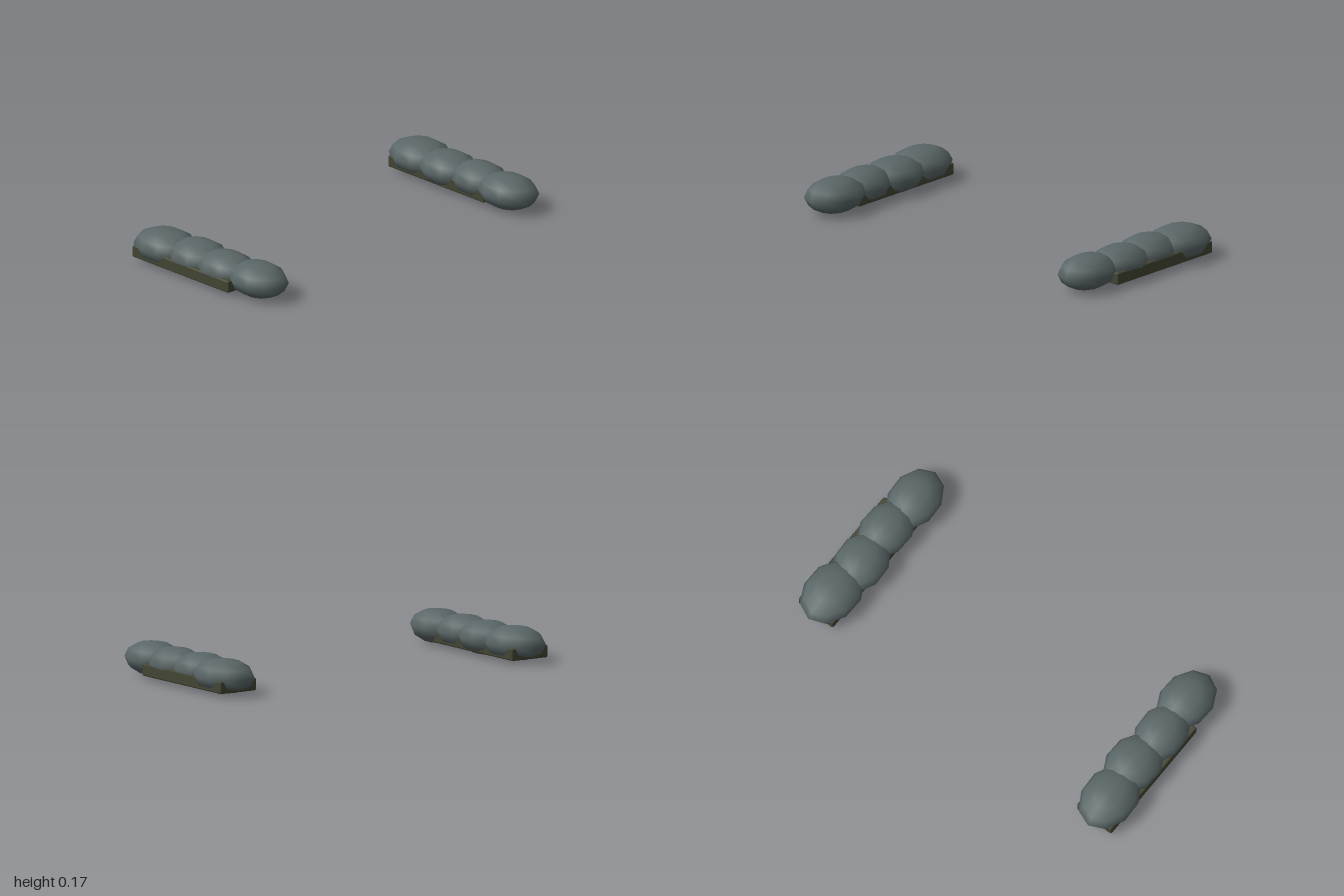
import * as THREE from 'three';
import { RoundedBoxGeometry } from 'three/addons/geometries/RoundedBoxGeometry.js';

const podMaterial = new THREE.MeshStandardMaterial({ color: 0x5a6667 });
podMaterial.name = 'slate grey';
const trayMaterial = new THREE.MeshStandardMaterial({ color: 0x434533 });
trayMaterial.name = 'dark olive';

// Flattened low-sided pods, front to back: [x, z, x radius, z radius, yaw]
const rows = {
  left: [
    [0.848, 0.32, 0.13, 0.172, 0.04],
    [0.86, 0.11, 0.126, 0.172, -0.04],
    [0.85, -0.1, 0.132, 0.172, 0.04],
    [0.865, -0.31, 0.141, 0.184, -0.03],
  ],
  right: [
    [-0.847, 0.32, 0.132, 0.172, -0.05],
    [-0.857, 0.11, 0.126, 0.172, 0.04],
    [-0.848, -0.1, 0.136, 0.172, -0.04],
    [-0.865, -0.31, 0.139, 0.182, 0.04],
  ],
};

function makeRow(side, pods) {
  const row = new THREE.Group();
  row.name = side + 'Row';

  // Pods with a vertex pointing along z
  const podGeometry = new THREE.SphereGeometry(1, 10, 6).rotateY(Math.PI / 2);
  pods.forEach(([x, z, rx, rz, yaw], i) => {
    const pod = new THREE.Mesh(podGeometry, podMaterial);
    pod.name = side + 'Pod' + (i + 1);
    pod.position.set(x, 0.089, z);
    pod.scale.set(rx, 0.086, rz);
    pod.rotation.y = yaw;
    row.add(pod);
  });

  // Bevelled tray under the pods, set towards the back
  const tray = new THREE.Mesh(new RoundedBoxGeometry(0.215, 0.062, 0.68, 1, 0.008), trayMaterial);
  tray.name = side + 'Tray';
  tray.position.set(0.868 * Math.sign(pods[0][0]), 0.054, -0.1);
  row.add(tray);
  return row;
}

export function createModel() {
  const model = new THREE.Group();
  model.name = 'podRows';
  for (const side in rows) model.add(makeRow(side, rows[side]));
  return model;
}
